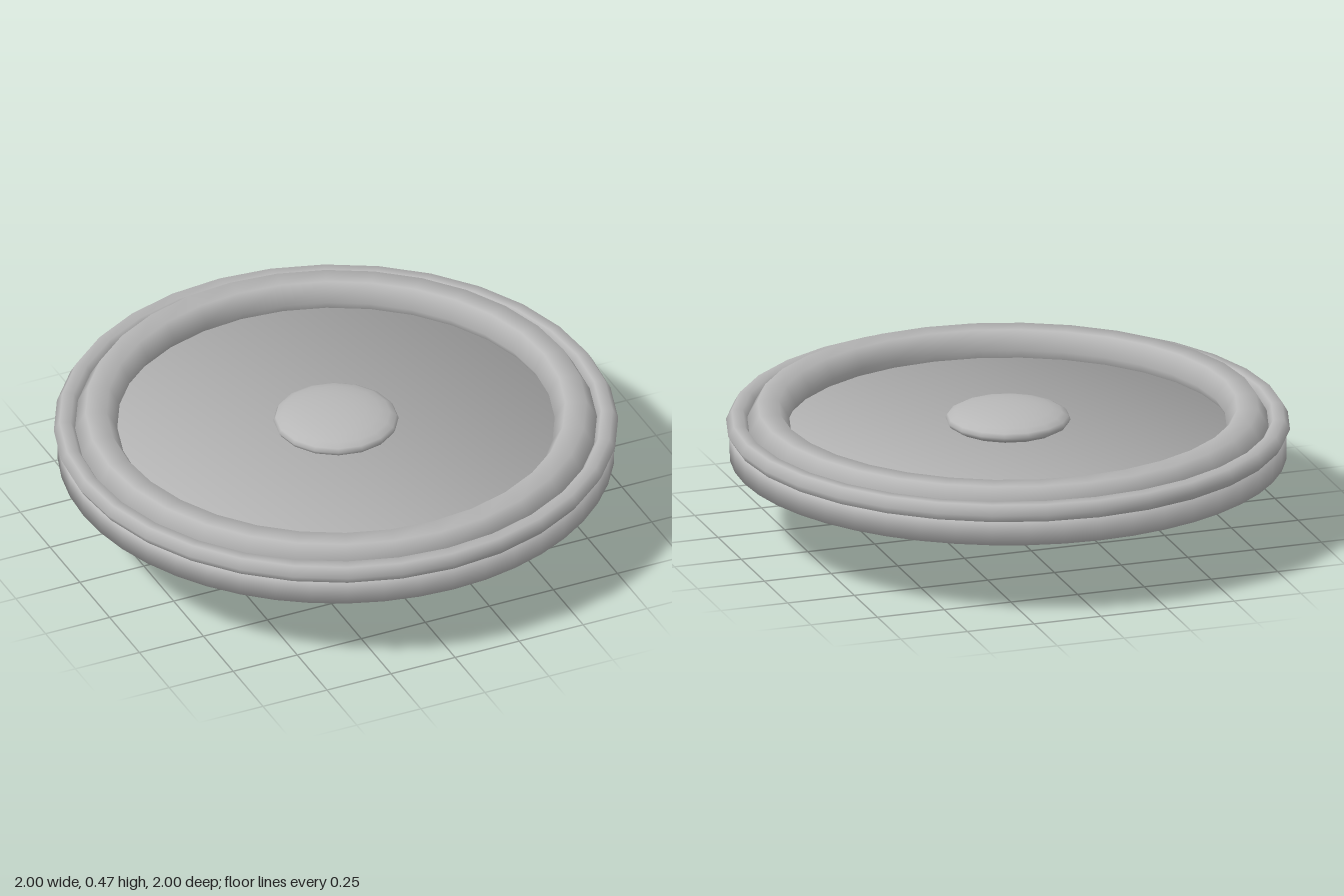
import * as THREE from 'three';

// Cylinder whose rim normals are averaged between wall and cap, so the edges shade softly
function softCylinder(radius, y0, y1, sides) {
  const pos = [], nor = [], idx = [];
  const k = Math.SQRT1_2;
  for (let i = 0; i < sides; i++) {
    const a = (i / sides) * Math.PI * 2;
    const s = Math.sin(a), c = Math.cos(a);
    pos.push(radius * s, y0, radius * c, radius * s, y1, radius * c);
    nor.push(s * k, -k, c * k, s * k, k, c * k);
  }
  for (let i = 0; i < sides; i++) {
    const a = 2 * i, b = 2 * ((i + 1) % sides);
    idx.push(a, b, b + 1, a, b + 1, a + 1); // wall
    if (i > 0 && i < sides - 1) idx.push(1, a + 1, b + 1, 0, b, a); // caps
  }
  const geo = new THREE.BufferGeometry();
  geo.setAttribute('position', new THREE.Float32BufferAttribute(pos, 3));
  geo.setAttribute('normal', new THREE.Float32BufferAttribute(nor, 3));
  geo.setIndex(idx);
  return geo;
}

// Horizontal ring with a six-sided section
function ring(radius, tube, y) {
  return new THREE.TorusGeometry(radius, tube, 6, 32).rotateX(-Math.PI / 2).translate(0, y, 0);
}

export function createModel() {
  const grey = new THREE.MeshStandardMaterial({ color: 0xb8b8b8 });
  grey.name = 'grey';
  const model = new THREE.Group();
  model.name = 'roundPlate';

  const add = (name, geometry) => {
    const mesh = new THREE.Mesh(geometry, grey);
    mesh.name = name;
    model.add(mesh);
  };

  // Flat disc and the stem below it
  add('disc', softCylinder(0.987, 0.28, 0.366, 48));
  add('stem', softCylinder(0.062, 0, 0.29, 16));

  // Thin outer rim and thicker raised inner ring
  add('outerRim', ring(0.96, 0.04, 0.393));
  add('innerRing', ring(0.85, 0.075, 0.4));

  // Flattened boss in the middle
  add('centreBoss', new THREE.SphereGeometry(0.222, 16, 12).scale(1, 0.235, 1).translate(0, 0.415, 0));

  return model;
}
